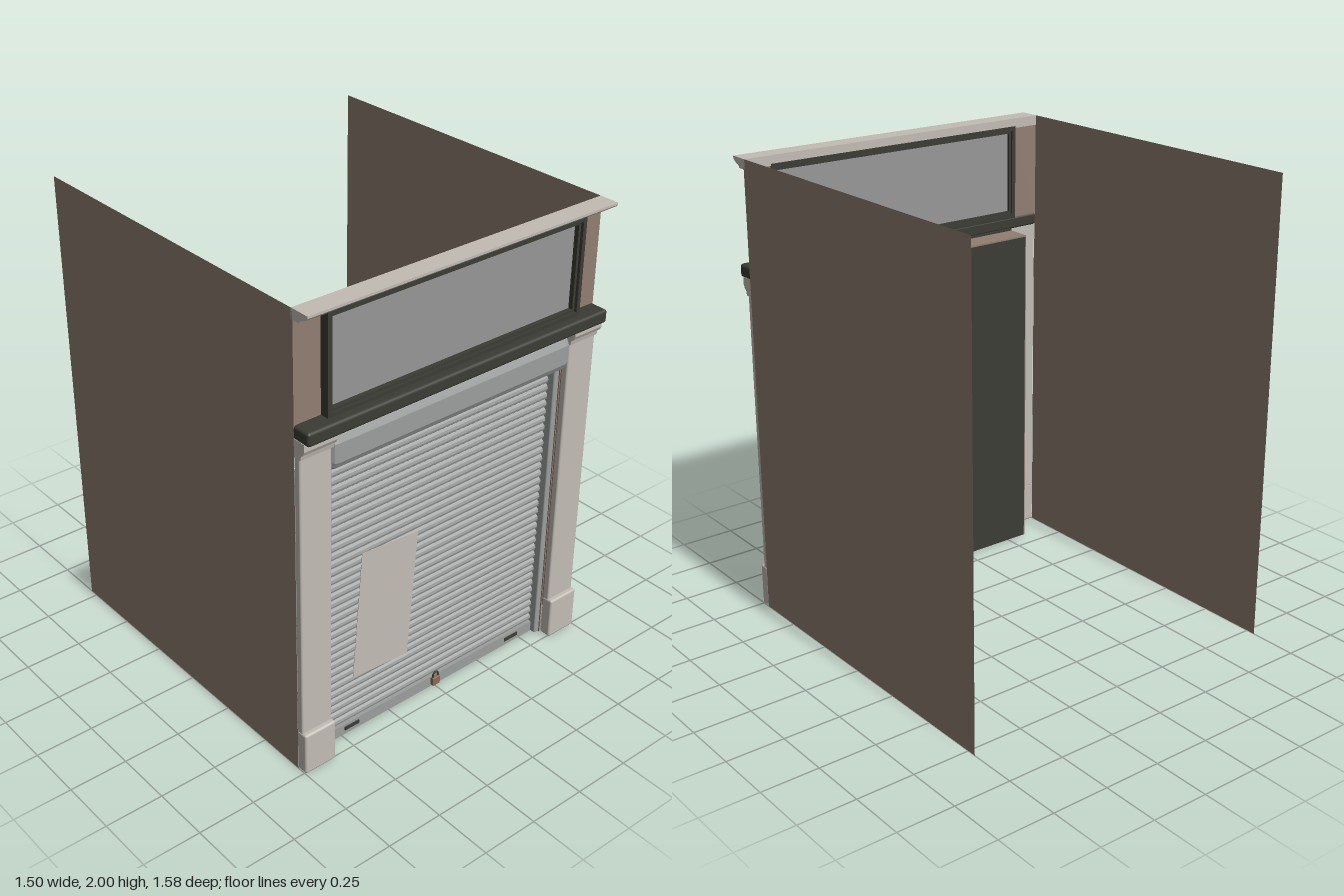
import * as THREE from 'three';
import { RoundedBoxGeometry } from 'three/addons/geometries/RoundedBoxGeometry.js';

export function createModel() {
  const model = new THREE.Group();
  model.name = 'shopfront';

  const mat = (name, color, side = THREE.FrontSide) => {
    const m = new THREE.MeshStandardMaterial({ color, side });
    m.name = name;
    return m;
  };
  const render = mat('brown render', 0x917e71, THREE.DoubleSide);
  const stone = mat('pale stone', 0xc2bcb4);
  const dark = mat('dark painted wood', 0x3a3c34);
  const metal = mat('shutter metal', 0x9c9e9e);
  const glass = mat('grey glass', 0x979797, THREE.DoubleSide);
  const brass = mat('old brass', 0x8a6a54);

  const add = (name, geometry, material) => {
    const mesh = new THREE.Mesh(geometry, material);
    mesh.name = name;
    model.add(mesh);
    return mesh;
  };
  // Box given by its limits on each axis, optionally with rounded edges
  const box = (name, material, [x0, x1], [y0, y1], [z0, z1], r = 0) => {
    const size = [x1 - x0, y1 - y0, z1 - z0];
    const g = r ? new RoundedBoxGeometry(...size, 2, r) : new THREE.BoxGeometry(...size);
    g.translate((x0 + x1) / 2, (y0 + y1) / 2, (z0 + z1) / 2);
    return add(name, g, material);
  };
  // Moulding: a (z, y) profile swept along x
  const moulding = (name, material, points, x0, x1, bevel = 0) => {
    const shape = new THREE.Shape(points.map(([z, y]) => new THREE.Vector2(z, y)));
    const g = new THREE.ExtrudeGeometry(shape, {
      depth: x1 - x0 - 2 * bevel, bevelEnabled: bevel > 0, bevelThickness: bevel,
      bevelSize: bevel / 2, bevelOffset: -bevel / 2, bevelSegments: 2,
    });
    g.rotateY(-Math.PI / 2);
    g.translate(x1 - bevel, 0, 0);
    return add(name, g, material);
  };
  const rect = (C, x0, x1, y0, y1) => {
    const p = new C();
    p.moveTo(x0, y0);
    p.lineTo(x1, y0);
    p.lineTo(x1, y1);
    p.lineTo(x0, y1);
    p.closePath();
    return p;
  };
  // Upright panel with a rectangular opening
  const openPanel = (name, material, outer, inner, z, depth) => {
    const s = rect(THREE.Shape, ...outer);
    s.holes.push(rect(THREE.Path, ...inner));
    const g = new THREE.ExtrudeGeometry(s, { depth, bevelEnabled: false });
    g.translate(0, 0, z);
    return add(name, g, material);
  };

  for (const s of [-1, 1]) {
    const side = s > 0 ? 'left' : 'right';
    const span = (a, b) => (s > 0 ? [a, b] : [-b, -a]);

    // Long party wall
    const wall = add(side + 'Wall', new THREE.PlaneGeometry(1.5, 2), render);
    wall.rotation.y = s * Math.PI / 2;
    wall.position.set(s * 0.75, 1, -0.04);

    // Pilaster: plinth, shaft and capital
    box(side + 'Plinth', stone, span(0.6, 0.75), [0, 0.19], [0.705, 0.76], 0.01);
    box(side + 'Shaft', stone, span(0.602, 0.748), [0.18, 1.44], [0.705, 0.738], 0.008);
    moulding(side + 'Capital', stone, [
      [0.705, 1.425], [0.744, 1.425], [0.748, 1.445], [0.758, 1.452],
      [0.766, 1.468], [0.766, 1.5], [0.705, 1.5],
    ], ...span(0.6, 0.75));

    // Side of the shutter recess and its guide rail
    box(side + 'Reveal', render, span(0.597, 0.602), [0, 1.49], [0.585, 0.705]);
    box(side + 'GuideRail', metal, span(0.572, 0.61), [0, 1.45], [0.625, 0.7], 0.006);

    // Slot in the bottom bar
    box(side + 'Slot', dark, span(0.41, 0.485), [0.022, 0.037], [0.673, 0.68]);
  }

  // Shutter recess back and top
  box('recessBack', dark, [-0.6, 0.6], [0, 1.485], [0.585, 0.59]);
  box('recessTop', render, [-0.6, 0.6], [1.485, 1.492], [0.585, 0.705]);

  // Corrugated shutter
  const bottom = 0.05, top = 1.34, slats = 35, pitch = (top - bottom) / slats;
  for (let i = 0; i < slats; i++) {
    const y = bottom + i * pitch;
    moulding('shutterSlat', metal, [
      [0.65, y], [0.658, y], [0.667, y + pitch * 0.22], [0.67, y + pitch * 0.5],
      [0.667, y + pitch * 0.78], [0.658, y + pitch], [0.65, y + pitch],
    ], -0.575, 0.575);
  }
  box('shutterBottomBar', metal, [-0.575, 0.575], [0, 0.05], [0.64, 0.675]);

  // Roller hood over the shutter
  moulding('shutterHood', metal, [
    [0.62, 1.31], [0.715, 1.31], [0.735, 1.325], [0.747, 1.35],
    [0.747, 1.43], [0.735, 1.455], [0.715, 1.468], [0.62, 1.468],
  ], -0.6, 0.6, 0.025);
  box('hoodLintel', dark, [-0.6, 0.6], [1.466, 1.5], [0.69, 0.735]);

  // Paper notice
  const notice = box('notice', stone, [-0.1425, 0.1425], [-0.29, 0.29], [-0.001, 0.001]);
  notice.position.set(-0.279, 0.544, 0.673);
  notice.rotation.z = -0.07;

  // Padlock
  box('padlockBody', brass, [-0.02, 0.02], [0.01, 0.05], [0.675, 0.693], 0.004);
  const shackle = add('padlockShackle', new THREE.TorusGeometry(0.014, 0.004, 6, 12, Math.PI), dark);
  shackle.position.set(0, 0.058, 0.684);
  for (const x of [-0.014, 0.014]) {
    const leg = add('padlockLeg', new THREE.CylinderGeometry(0.004, 0.004, 0.012, 6), dark);
    leg.position.set(x, 0.053, 0.684);
  }

  // Dark sill under the window
  box('sill', dark, [-0.75, 0.75], [1.495, 1.552], [0.7, 0.79], 0.012);

  // Upper wall, window frame and pane
  openPanel('upperWall', render, [-0.75, 0.75, 1.54, 1.99], [-0.628, 0.628, 1.55, 1.962], 0.704, 0.006);
  openPanel('windowFrame', dark, [-0.63, 0.63, 1.545, 1.965], [-0.612, 0.612, 1.567, 1.945], 0.7, 0.05);
  openPanel('windowBead', dark, [-0.615, 0.615, 1.56, 1.95], [-0.6, 0.6, 1.578, 1.934], 0.708, 0.03);
  const pane = add('windowPane', new THREE.PlaneGeometry(1.22, 0.38), glass);
  pane.position.set(0, 1.756, 0.718);

  // Cornice
  moulding('cornice', stone, [
    [0.702, 1.957], [0.745, 1.957], [0.75, 1.966], [0.77, 1.974],
    [0.785, 1.984], [0.79, 1.99], [0.79, 2], [0.702, 2],
  ], -0.75, 0.75);

  return model;
}
